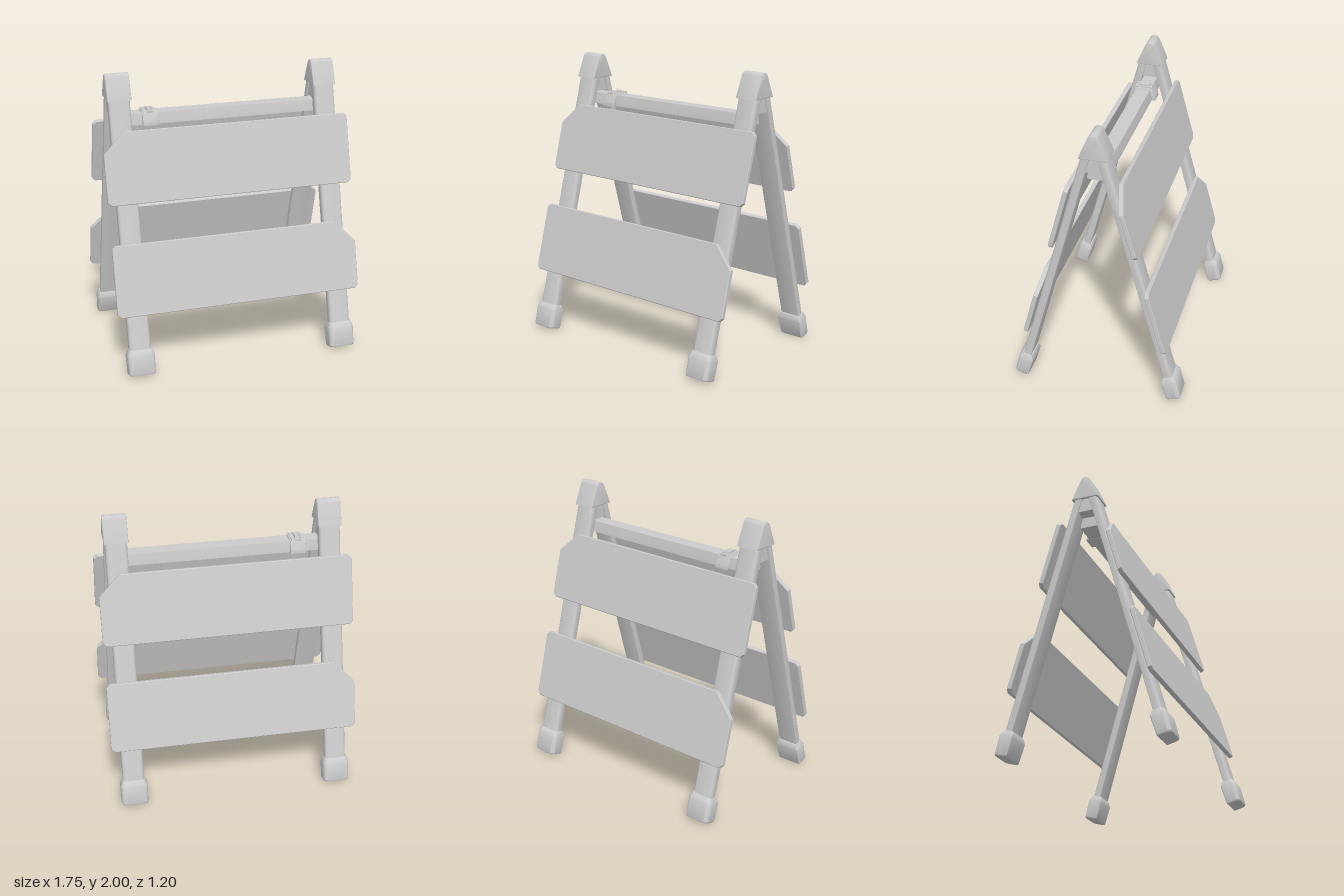
import * as THREE from 'three';
import { toCreasedNormals } from 'three/addons/utils/BufferGeometryUtils.js';

const TILT = 0.2688;   // lean of each frame
const APEX = 2.035;    // height where the two leg centre lines meet
const LEG_X = 0.735;

const material = new THREE.MeshStandardMaterial({ color: 0xcccccc });

function addMesh(parent, name, geometry, x = 0, y = 0, z = 0) {
  const mesh = new THREE.Mesh(geometry, material);
  mesh.name = name;
  mesh.position.set(x, y, z);
  parent.add(mesh);
  return mesh;
}

// Rounded rectangle in x/z: outer corners (+z) and inner corners (-z) have their own radius
function section(w, d, rOuter, rInner) {
  const points = [];
  const corners = [[1, 1, rOuter], [-1, 1, rOuter], [-1, -1, rInner], [1, -1, rInner]];
  corners.forEach(([sx, sz, r], c) => {
    for (let i = 0; i <= 6; i++) {
      const t = (c + i / 6) * Math.PI / 2;
      points.push([sx * (w / 2 - r) + r * Math.cos(t), sz * (d / 2 - r) + r * Math.sin(t)]);
    }
  });
  return points;
}

// Skin a stack of sections, listed bottom to top as [y, width, depth, outer radius, inner radius]
function loft(levels) {
  const positions = [], index = [];
  const rings = levels.map(([y, ...s]) => section(...s).map(([x, z]) => [x, y, z]));
  const n = rings[0].length;
  rings.forEach(ring => ring.forEach(p => positions.push(...p)));
  for (let k = 0; k < rings.length - 1; k++) {
    for (let i = 0; i < n; i++) {
      const a = k * n + i, b = k * n + (i + 1) % n;
      index.push(a, a + n, b, b, a + n, b + n);
    }
  }
  const top = (rings.length - 1) * n;
  for (let i = 1; i < n - 1; i++) {
    index.push(0, i, i + 1, top, top + i + 1, top + i);
  }
  const geometry = new THREE.BufferGeometry();
  geometry.setAttribute('position', new THREE.Float32BufferAttribute(positions, 3));
  geometry.setIndex(index);
  return toCreasedNormals(geometry, 0.5);
}

// Extrude a z/y profile along x, centred
function extrudeAlongX(points, length, bevel = 0) {
  const shape = points instanceof THREE.Shape
    ? points
    : new THREE.Shape(points.map(p => new THREE.Vector2(...p)));
  const depth = length - 2 * bevel;
  const geometry = new THREE.ExtrudeGeometry(shape, {
    depth, bevelEnabled: bevel > 0, bevelSize: bevel, bevelThickness: bevel,
    bevelOffset: -bevel, bevelSegments: 2, curveSegments: 8,
  });
  geometry.translate(0, 0, -depth / 2);
  geometry.rotateY(Math.PI / 2);
  return toCreasedNormals(geometry, 0.5);
}

// Board with small clipped corners and one large cut at an upper corner
function boardGeometry(cutSide) {
  const w = 0.877, h = 0.494, c = 0.025, cut = 0.15;
  const left = cutSide < 0 ? cut : c, right = cutSide > 0 ? cut : c;
  const shape = new THREE.Shape([
    [-w + c, -h], [w - c, -h], [w, -h + c], [w, -right],
    [w - right, 0], [-w + left, 0], [-w, -left], [-w, -h + c],
  ].map(p => new THREE.Vector2(...p)));
  const bevel = 0.004;
  const geometry = new THREE.ExtrudeGeometry(shape, {
    depth: 0.032 - 2 * bevel, bevelEnabled: true, bevelSize: bevel,
    bevelThickness: bevel, bevelOffset: -bevel, bevelSegments: 1,
  });
  geometry.translate(0, 0, bevel);
  return geometry;
}

// One leaning frame: two legs with feet and two boards, hung from the apex
function createFrame(name) {
  const frame = new THREE.Group();
  frame.name = name;
  const leg = loft([
    [-2.0, 0.15, 0.058, 0.024, 0.004],
    [-0.18, 0.15, 0.058, 0.024, 0.004],
  ]);
  const foot = loft([
    [-2.094, 0.176, 0.09, 0.028, 0.008],
    [-2.085, 0.186, 0.1, 0.032, 0.01],
    [-1.955, 0.19, 0.108, 0.034, 0.01],
    [-1.93, 0.17, 0.088, 0.03, 0.008],
    [-1.918, 0.162, 0.072, 0.026, 0.006],
  ]);
  for (const side of [-1, 1]) {
    addMesh(frame, 'leg', leg, side * LEG_X);
    addMesh(frame, 'foot', foot, side * LEG_X);
  }
  addMesh(frame, 'upperBoard', boardGeometry(-1), 0, -0.427, 0.031);
  addMesh(frame, 'lowerBoard', boardGeometry(1), 0, -1.189, 0.031);
  frame.position.y = APEX;
  frame.rotation.x = -TILT;
  return frame;
}

// Pointed cap over the tops of a leg pair, with the hinge block beneath
function createHinge(side) {
  const hinge = new THREE.Group();
  hinge.name = side > 0 ? 'leftHinge' : 'rightHinge';
  const profile = new THREE.Shape();
  profile.moveTo(-0.097, 1.828);
  profile.lineTo(0.097, 1.828);
  profile.lineTo(0.092, 1.845);
  profile.lineTo(0.036, 1.972);
  profile.quadraticCurveTo(0.025, 2, 0, 2);
  profile.quadraticCurveTo(-0.025, 2, -0.036, 1.972);
  profile.lineTo(-0.092, 1.845);
  addMesh(hinge, 'cap', extrudeAlongX(profile, 0.165, 0.006), side * LEG_X);
  addMesh(hinge, 'hingeBlock', extrudeAlongX(
    [[-0.055, 1.73], [0.055, 1.73], [0.03, 1.85], [-0.03, 1.85]], 0.13), side * LEG_X);
  return hinge;
}

// Clip that straddles the crossbar, with two straps and a tab
function createClip() {
  const clip = new THREE.Group();
  clip.name = 'clip';
  addMesh(clip, 'saddle', extrudeAlongX([
    [-0.09, 1.64], [0.09, 1.64], [0.088, 1.665], [0.062, 1.722],
    [0.05, 1.73], [-0.05, 1.73], [-0.062, 1.722], [-0.088, 1.665],
  ], 0.11, 0.006));
  for (const side of [-1, 1]) {
    addMesh(clip, 'strap', extrudeAlongX([
      [-0.068, 1.72], [0.068, 1.72], [0.06, 1.735], [-0.06, 1.735],
    ], 0.02), side * 0.034);
    addMesh(clip, 'endLoop', new THREE.BoxGeometry(0.048, 0.014, 0.014), 0, 1.728, side * 0.055);
  }
  addMesh(clip, 'tab', extrudeAlongX([
    [-0.045, 1.72], [0.045, 1.72], [0.035, 1.745], [-0.035, 1.745],
  ], 0.03, 0.003));
  clip.position.x = -0.52;
  return clip;
}

export function createModel() {
  const model = new THREE.Group();
  model.name = 'foldingBarricade';

  const front = createFrame('frontFrame');
  const back = new THREE.Group();
  back.name = 'backHalf';
  back.add(createFrame('backFrame'));
  back.rotation.y = Math.PI;
  model.add(front, back);

  model.add(createHinge(-1), createHinge(1));

  // Crossbar with a flat top and sloping sides
  addMesh(model, 'crossbar', extrudeAlongX([
    [-0.066, 1.643], [0.066, 1.643], [0.064, 1.66], [0.05, 1.72], [-0.05, 1.72], [-0.064, 1.66],
  ], 1.46));
  model.add(createClip());
  return model;
}
